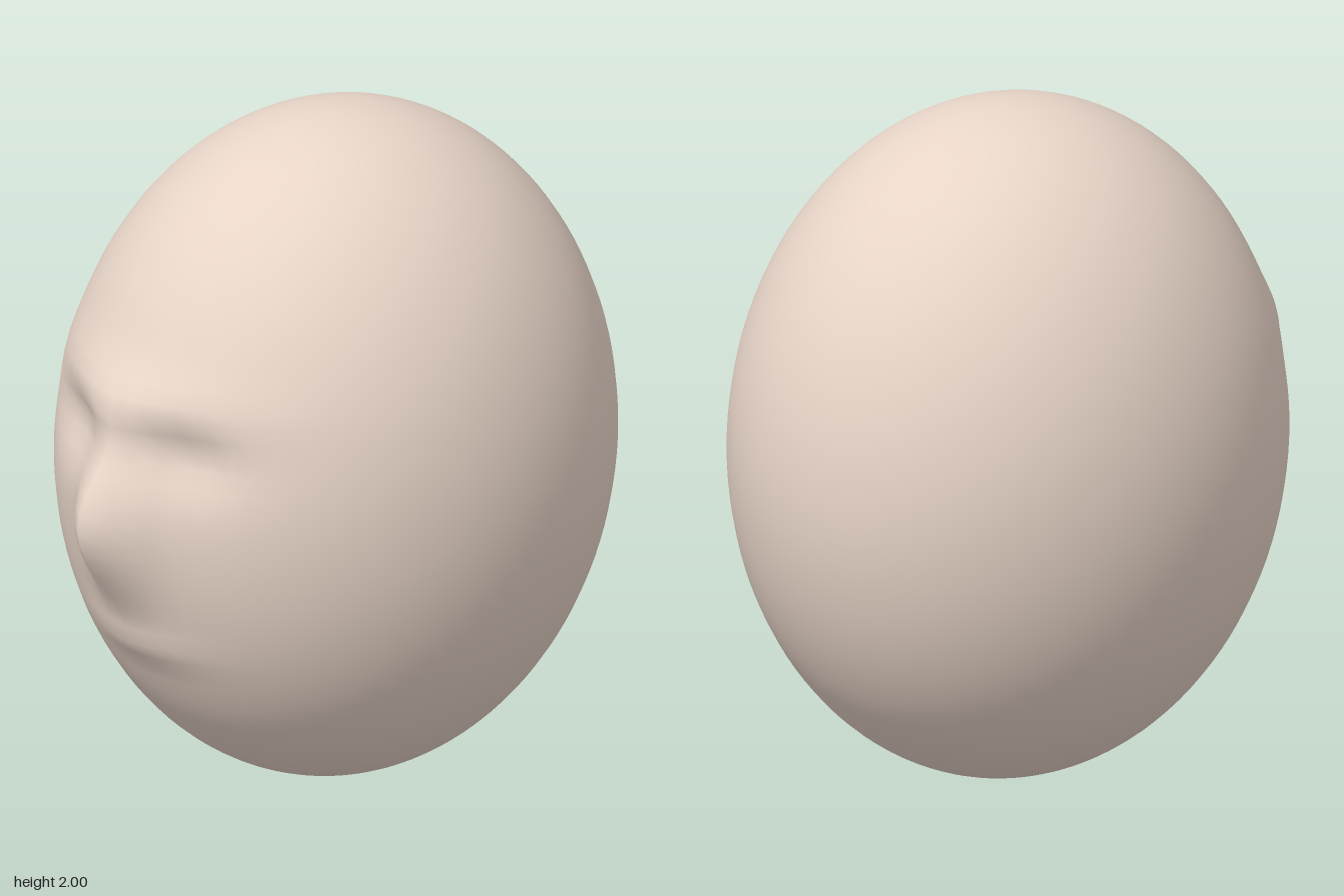
import * as THREE from 'three';
import { mergeVertices } from 'three/addons/utils/BufferGeometryUtils.js';

// Soft features pushed along z: centre x, centre y, spread x, spread y, depth
const FEATURES = [
  [0, 0.95, 0.08, 0.155, 0.147],   // nose
  [0, 1.31, 0.24, 0.06, 0.05],     // brow ridge
  [0.22, 1.18, 0.1, 0.07, -0.05],  // left eye socket
  [-0.22, 1.18, 0.1, 0.07, -0.05], // right eye socket
  [0, 0.565, 0.13, 0.035, 0.027],  // lips
];

const bump = (x, y, [cx, cy, sx, sy, depth]) =>
  depth * Math.exp(-0.5 * (((x - cx) / sx) ** 2 + ((y - cy) / sy) ** 2));

export function createModel() {
  const group = new THREE.Group();
  group.name = 'mannequinHead';

  // Egg-shaped skull standing on the ground
  let geometry = new THREE.SphereGeometry(1, 64, 64);
  geometry.scale(0.74, 1, 0.86);
  geometry.translate(0, 1, -0.07);

  // Sculpt the face on the front half
  const pos = geometry.attributes.position;
  for (let i = 0; i < pos.count; i++) {
    const x = pos.getX(i), y = pos.getY(i), z = pos.getZ(i);
    if (z < 0) continue;
    pos.setZ(i, FEATURES.reduce((sum, f) => sum + bump(x, y, f), z));
  }

  // Weld the seam so shading stays smooth all round
  geometry.deleteAttribute('uv');
  geometry.deleteAttribute('normal');
  geometry = mergeVertices(geometry, 1e-5);
  geometry.computeVertexNormals();

  const head = new THREE.Mesh(geometry, new THREE.MeshStandardMaterial({ color: 0xe8d5c8 }));
  head.name = 'head';
  group.add(head);
  return group;
}
